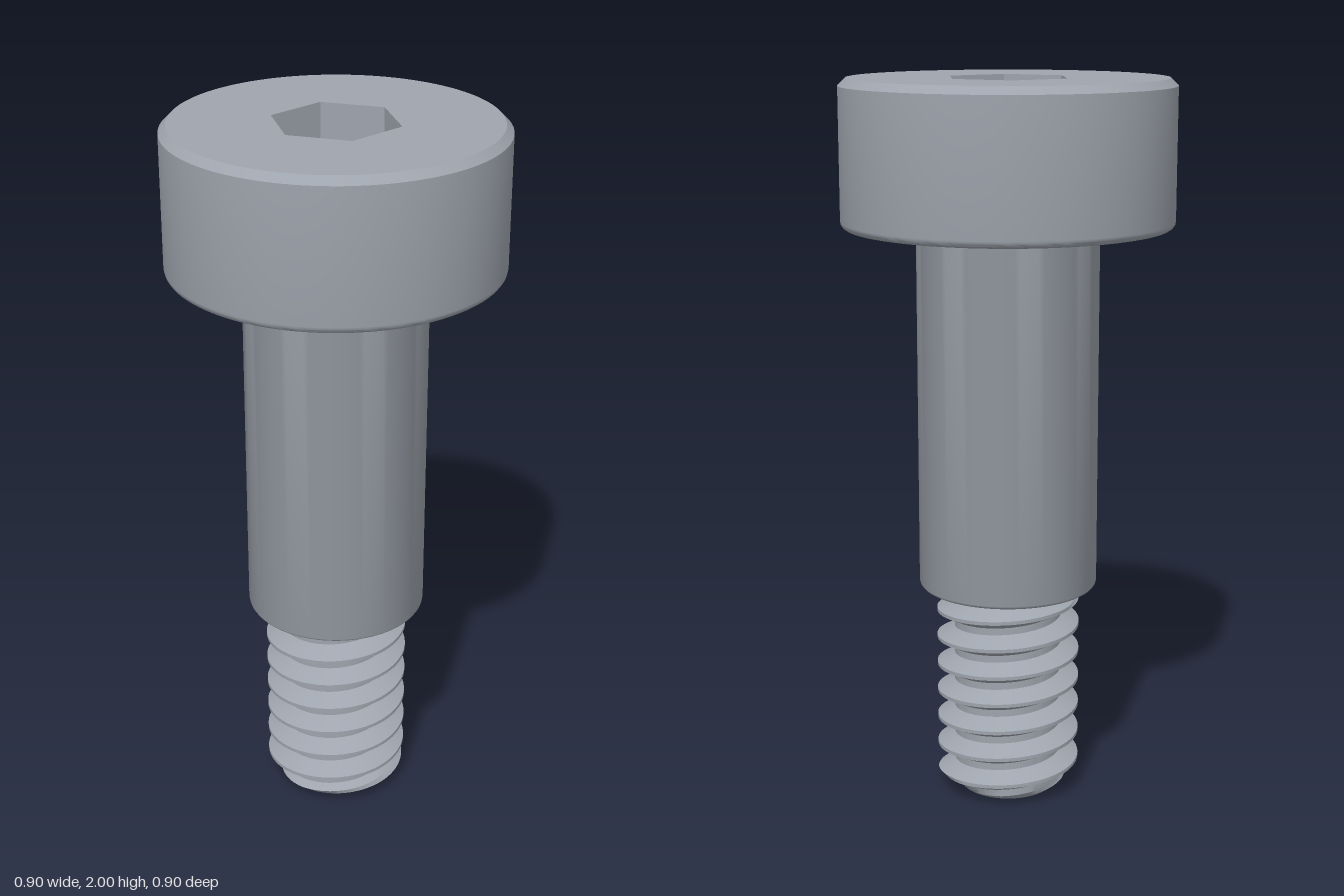
import * as THREE from 'three';
import { toCreasedNormals } from 'three/addons/utils/BufferGeometryUtils.js';

const steel = new THREE.MeshStandardMaterial({ color: 0x9fa5ae });
steel.name = 'steel grey';

const PITCH = 0.08, MAJOR = 0.2, MINOR = 0.151, THREAD_TOP = 0.6;
const CREST_Y = 0.015; // height of a crest at the front
const SOCKET_R = 0.173, SOCKET_DEPTH = 0.2;

const part = (name, geometry) => {
  const mesh = new THREE.Mesh(geometry, steel);
  mesh.name = name;
  return mesh;
};

const lathe = (points) => toCreasedNormals(
  new THREE.LatheGeometry(points.map(([r, y]) => new THREE.Vector2(r, y)), 96), 0.65);

// Quarter arc of profile points around (cx, cy)
function arc(cx, cy, r, from, to, steps = 4) {
  return Array.from({ length: steps + 1 }, (_, i) => {
    const a = from + (to - from) * i / steps;
    return [cx + r * Math.cos(a), cy + r * Math.sin(a)];
  });
}

// Thread radius: flat crest, sloped flanks, flat root, tapered at both ends
function threadRadius(turn, y) {
  const u = (y - CREST_Y) / PITCH - turn;
  const d = Math.abs(u - Math.round(u)); // distance from crest in pitches
  const k = THREE.MathUtils.clamp((d - 0.0625) / 0.3125, 0, 1);
  const runout = Math.max(0.15, MAJOR - Math.max(0, y - 0.565) * 2);
  return Math.min(MAJOR - k * (MAJOR - MINOR), 0.13 + 1.3 * y, runout);
}

// Helical grid whose rows follow the crest and root edges
function threadGeometry(segments = 96) {
  const offsets = [-0.375, -0.22, -0.0625, 0.0625, 0.22, 0.375];
  const rows = [];
  for (let n = -2; n <= 8; n++) for (const o of offsets) rows.push(n + o);
  const pos = [], index = [];
  for (let j = 0; j <= segments; j++) {
    const turn = j / segments, a = turn * Math.PI * 2;
    for (const row of rows) {
      const y = THREE.MathUtils.clamp(CREST_Y + PITCH * (row + turn), 0, THREAD_TOP);
      const r = threadRadius(turn, y);
      pos.push(r * Math.sin(a), y, r * Math.cos(a));
    }
  }
  const n = rows.length;
  for (let j = 0; j < segments; j++) {
    for (let k = 0; k < n - 1; k++) {
      const a = j * n + k, b = a + n;
      // skip the rows flattened against either end
      if (pos[a * 3 + 1] === pos[(b + 1) * 3 + 1]) continue;
      index.push(a, b, b + 1, a, b + 1, a + 1);
    }
  }
  const g = new THREE.BufferGeometry();
  g.setAttribute('position', new THREE.Float32BufferAttribute(pos, 3));
  g.setIndex(index);
  return toCreasedNormals(g, 0.5);
}

export function createModel() {
  const model = new THREE.Group();
  model.name = 'shoulderScrew';
  const PI = Math.PI;

  // Threaded end
  model.add(part('thread', threadGeometry()));
  const tip = new THREE.CircleGeometry(0.13, 96);
  tip.rotateX(PI / 2);
  model.add(part('threadTip', tip));

  // Smooth shoulder with rounded lower edge and flared fillet at the top
  model.add(part('shoulder', lathe([
    [0.14, 0.6],
    ...arc(0.23, 0.618, 0.018, -PI / 2, 0),
    ...arc(0.273, 1.58, 0.025, PI, PI / 2),
  ])));

  // Head with rounded lower edge and bevelled rim
  model.add(part('head', lathe([
    [0.272, 1.605],
    ...arc(0.43, 1.625, 0.02, -PI / 2, 0),
    [0.45, 1.98], [0.43, 2],
  ])));

  // Top face with the hexagonal opening
  const face = new THREE.Shape().absarc(0, 0, 0.43, 0, PI * 2);
  const hexagon = Array.from({ length: 6 }, (_, i) => new THREE.Vector2(
    SOCKET_R * Math.sin(i * PI / 3), SOCKET_R * Math.cos(i * PI / 3)));
  face.holes.push(new THREE.Path(hexagon));
  const top = new THREE.ShapeGeometry(face, 96);
  top.rotateX(-PI / 2).translate(0, 2, 0);
  model.add(part('headTop', top));

  // Socket walls turned inward, and floor
  let walls = new THREE.CylinderGeometry(SOCKET_R, SOCKET_R, SOCKET_DEPTH, 6, 1, true);
  walls.scale(-1, 1, 1).translate(0, 2 - SOCKET_DEPTH / 2, 0);
  walls = walls.toNonIndexed();
  walls.computeVertexNormals();
  model.add(part('socketWalls', walls));
  const floor = new THREE.CircleGeometry(SOCKET_R, 6, PI / 2);
  floor.rotateX(-PI / 2).translate(0, 2 - SOCKET_DEPTH, 0);
  model.add(part('socketFloor', floor));

  return model;
}
